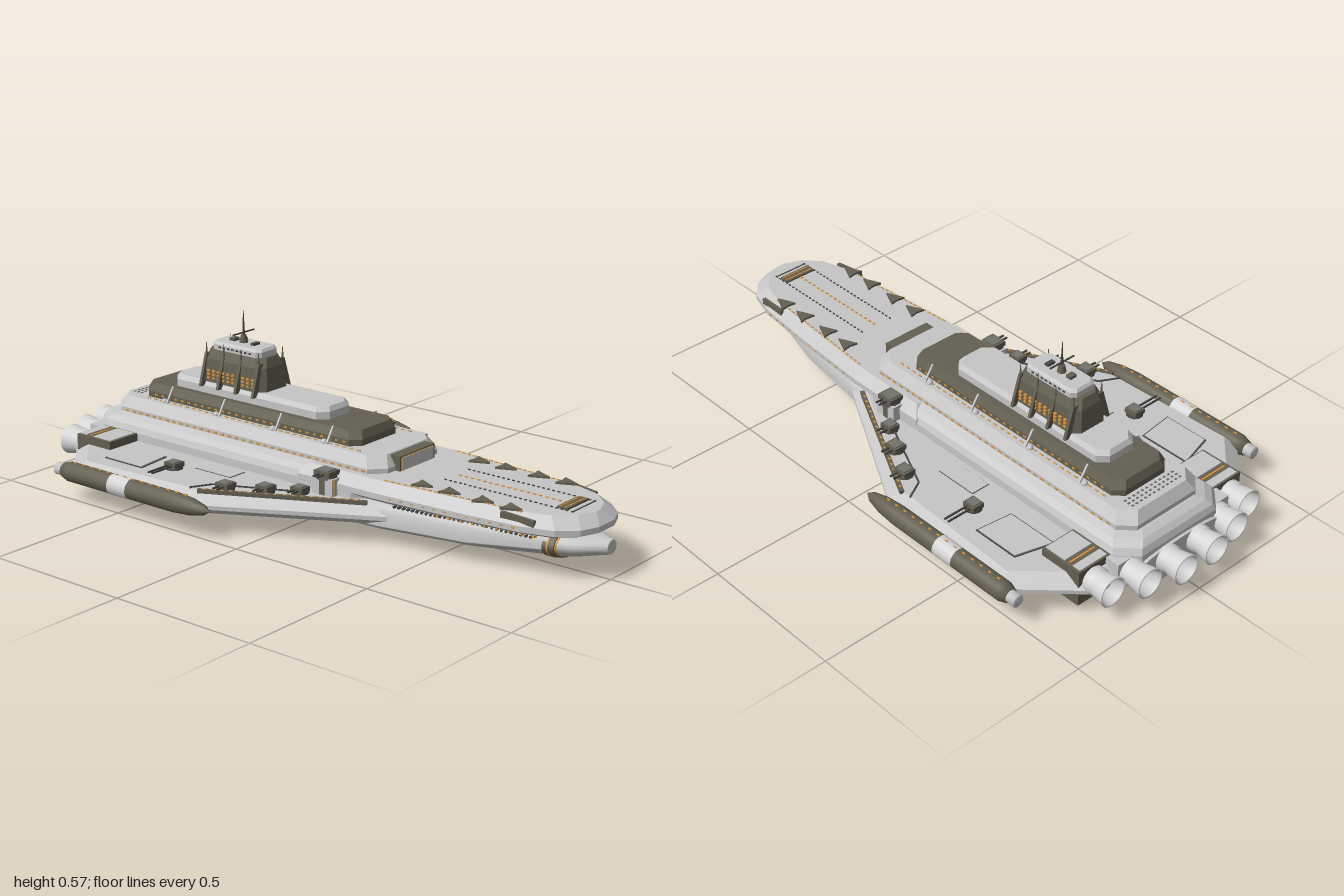
import * as THREE from 'three';
import { mergeGeometries } from 'three/addons/utils/BufferGeometryUtils.js';

const paint = (name, color) => {
  const m = new THREE.MeshStandardMaterial({ color });
  m.name = name;
  return m;
};

export function createModel() {
  const ship = new THREE.Group();
  ship.name = 'carrierShip';
  const grey = paint('hullGrey', 0xc6c6c6);
  const olive = paint('darkOlive', 0x635f51);
  const pale = paint('paleGrey', 0xd4d4d4);
  const steel = paint('steelGrey', 0x74746e);
  const dark = paint('charcoal', 0x484846);
  const orange = paint('amberLight', 0xd8923a);

  const add = (name, geo, mat, x = 0, y = 0, z = 0) => {
    const m = new THREE.Mesh(geo, mat);
    m.name = name;
    m.position.set(x, y, z);
    ship.add(m);
    return m;
  };
  const box = (name, mat, w, h, d, x, y, z) => add(name, new THREE.BoxGeometry(w, h, d), mat, x, y, z);
  const sides = (fn) => [1, -1].forEach(fn);

  // Skin a stack of closed rings, with capped ends
  function loft(rings, smooth = false) {
    const n = rings[0].length, pos = [], idx = [];
    rings.forEach((r) => r.forEach((p) => pos.push(...p)));
    for (let i = 0; i < rings.length - 1; i++) {
      for (let j = 0; j < n; j++) {
        const a = i * n + j, b = i * n + (j + 1) % n;
        idx.push(a, b, b + n, a, b + n, a + n);
      }
    }
    [[rings[0], true], [rings[rings.length - 1], false]].forEach(([r, flip]) => {
      const base = pos.length / 3;
      r.forEach((p) => pos.push(...p));
      pos.push(...[0, 1, 2].map((k) => r.reduce((s, p) => s + p[k], 0) / n));
      for (let j = 0; j < n; j++) {
        const a = base + j, b = base + (j + 1) % n;
        idx.push(...(flip ? [b, a, base + n] : [a, b, base + n]));
      }
    });
    let g = new THREE.BufferGeometry();
    g.setAttribute('position', new THREE.Float32BufferAttribute(pos, 3));
    g.setIndex(idx);
    if (!smooth) g = g.toNonIndexed();
    g.computeVertexNormals();
    return g;
  }

  // Symmetric deck: half outline [x, z] from bow to stern, layers [y, inset]
  function deck(name, mat, half, layers) {
    const cx = (half[0][0] + half[half.length - 1][0]) / 2;
    add(name, loft(layers.map(([y, d]) => {
      const pts = half.map(([x, z]) => [x - Math.sign(x - cx) * d, y, z - d]);
      return [...pts.map(([x, , z]) => [x, y, -z]), ...pts.reverse()];
    })), mat);
  }
  // Rectangular deck with cut corners
  const block = (name, mat, x0, x1, w, c, layers) =>
    deck(name, mat, [[x1, w - c], [x1 - c, w], [x0 + c, w], [x0, w - c]], layers);

  // Sections along x: [x, half width, centre y, height above, depth below];
  // the powers make the upper and lower curves boxier or shallower
  const shell = (name, mat, sections, upPower = 1, downPower = 1) =>
    add(name, loft(sections.map(([x, w, cy, up, down]) =>
      Array.from({ length: 32 }, (_, i) => {
        const a = (i / 32) * Math.PI * 2, s = Math.sin(a);
        return [x, cy + (s > 0 ? up * s ** upPower : -down * (-s) ** downPower), -Math.cos(a) * w];
      })), true), mat);

  // Rows of small boxes on both sides
  function row(name, mat, a, b, n, size) {
    const geos = [];
    sides((s) => {
      for (let i = 0; i < n; i++) {
        const p = a.map((v, k) => v + (b[k] - v) * i / (n - 1));
        geos.push(new THREE.BoxGeometry(...size).translate(p[0], p[1], p[2] * s));
      }
    });
    add(name, mergeGeometries(geos), mat);
  }
  // Mirrored straight bars
  const beam = (name, mat, a, b, w, h) => sides((s) => {
    const p = new THREE.Vector3(a[0], a[1], a[2] * s), q = new THREE.Vector3(b[0], b[1], b[2] * s);
    const m = add(name, new THREE.BoxGeometry(w, h, p.distanceTo(q)), mat);
    m.position.copy(p).lerp(q, 0.5);
    m.lookAt(q);
  });
  // Mirrored flat plates from an [x, z] outline
  const plate = (name, mat, pts, y, h) => sides((s) => {
    const shape = new THREE.Shape(pts.map(([x, z]) => new THREE.Vector2(x, -z * s)));
    add(name, new THREE.ExtrudeGeometry(shape, { depth: h, bevelEnabled: false }).rotateX(-Math.PI / 2), mat, 0, y, 0);
  });
  const lathe = (pts, n, turn) => new THREE.LatheGeometry(pts.map((p) => new THREE.Vector2(...p)), n).rotateZ(turn);

  // Lower hull with a shallow belly, and nose
  shell('lowerHull', grey, [
    [-0.92, 0.19, 0.075, 0.07, 0.05], [-0.8, 0.215, 0.066, 0.08, 0.056], [-0.5, 0.22, 0.062, 0.08, 0.061],
    [-0.2, 0.222, 0.062, 0.08, 0.062], [0.05, 0.22, 0.062, 0.08, 0.06], [0.3, 0.208, 0.063, 0.08, 0.054],
    [0.6, 0.17, 0.07, 0.073, 0.046], [0.85, 0.108, 0.088, 0.052, 0.041]], 0.4, 1.5);
  shell('noseBand', olive, [[0.835, 0.117, 0.095, 0.049, 0.052], [0.87, 0.109, 0.095, 0.048, 0.05]]);
  shell('noseBandLight', orange, [[0.848, 0.116, 0.095, 0.05, 0.053], [0.853, 0.115, 0.095, 0.05, 0.053]]);
  shell('noseStripe', orange, [[0.869, 0.104, 0.095, 0.0455, 0.0465], [0.875, 0.101, 0.095, 0.0445, 0.0455]]);
  shell('noseCone', grey, [[0.87, 0.102, 0.095, 0.044, 0.045], [0.92, 0.08, 0.096, 0.039, 0.037],
    [0.97, 0.045, 0.098, 0.03, 0.027], [1, 0.024, 0.1, 0.022, 0.022]]);

  // Wings
  deck('wings', grey, [[0.34, 0.2], [-0.16, 0.475], [-0.7, 0.495], [-0.87, 0.32], [-0.91, 0.15]],
    [[0.062, 0.02], [0.082, 0], [0.095, 0], [0.129, 0.03]]);
  beam('wingEdgeRail', olive, [0.27, 0.128, 0.212], [-0.2, 0.128, 0.452], 0.014, 0.012);
  beam('wingInnerRail', dark, [0.08, 0.13, 0.255], [-0.2, 0.13, 0.385], 0.005, 0.006);
  beam('wingCrossRail', dark, [-0.2, 0.13, 0.385], [-0.235, 0.13, 0.45], 0.005, 0.006);
  row('wingEdgeLights', orange, [0.24, 0.134, 0.227], [-0.18, 0.134, 0.442], 18, [0.011, 0.004, 0.005]);
  plate('wingHatchSeam', dark, [[-0.68, 0.28], [-0.645, 0.41], [-0.48, 0.41], [-0.495, 0.28]], 0.126, 0.005);
  plate('wingHatch', grey, [[-0.675, 0.285], [-0.641, 0.405], [-0.486, 0.405], [-0.5, 0.285]], 0.127, 0.007);
  plate('wingPanelSeam', dark, [[-0.35, 0.235], [-0.35, 0.303], [-0.2, 0.303], [-0.2, 0.235]], 0.126, 0.004);
  plate('wingPanel', grey, [[-0.348, 0.237], [-0.348, 0.301], [-0.202, 0.301], [-0.202, 0.237]], 0.127, 0.005);

  // Flight deck with runway markings and parked craft
  deck('flightDeck', grey, [[0.98, 0.04], [0.955, 0.1], [0.9, 0.15], [0.8, 0.18], [0.6, 0.2], [0.3, 0.219], [0, 0.219]],
    [[0.135, 0.025], [0.15, 0], [0.168, 0], [0.2, 0.03]]);
  row('runwayDots', dark, [0.45, 0.2, 0.06], [0.9, 0.2, 0.06], 26, [0.008, 0.006, 0.004]);
  row('runwayCentreLights', orange, [0.46, 0.2, 0.002], [0.84, 0.2, 0.002], 18, [0.01, 0.004, 0.003]);
  beam('runwayEdge', dark, [0.9, 0.2, 0.06], [0.9, 0.2, 0.001], 0.004, 0.004);
  box('runwayBar', olive, 0.036, 0.014, 0.115, 0.863, 0.199, 0);
  [0.854, 0.872].forEach((x) => box('runwayBarLight', orange, 0.004, 0.004, 0.11, x, 0.2055, 0));
  beam('bowCheekStripe', olive, [0.73, 0.187, 0.171], [0.84, 0.178, 0.162], 0.012, 0.02);
  row('deckEdgeLights', orange, [0.32, 0.2, 0.182], [0.78, 0.2, 0.147], 22, [0.012, 0.005, 0.004]);
  row('hullPortholes', dark, [0.35, 0.125, 0.176], [0.8, 0.118, 0.114], 30, [0.007, 0.006, 0.02]);
  row('hullPortholeLights', orange, [0.5, 0.126, 0.16], [0.81, 0.121, 0.112], 9, [0.008, 0.005, 0.024]);
  row('hullLights', orange, [0.36, 0.16, 0.215], [0.78, 0.16, 0.183], 12, [0.008, 0.004, 0.006]);
  [0.43, 0.53, 0.65, 0.75].forEach((x) =>
    plate('parkedCraft', olive, [[x + 0.036, 0.145], [x - 0.025, 0.117], [x - 0.02, 0.145], [x - 0.025, 0.172]], 0.199, 0.008));

  // Stepped superstructure
  block('mainBlock', grey, -0.91, 0.27, 0.217, 0.06, [[0.1, 0], [0.155, 0], [0.175, 0.008], [0.19, 0.024], [0.2, 0.048]]);
  block('upperBlock', grey, -0.855, 0.28, 0.168, 0.045, [[0.198, 0], [0.215, 0], [0.25, 0.022]]);
  block('oliveTier', olive, -0.765, 0.148, 0.112, 0.03, [[0.25, 0], [0.27, 0], [0.296, 0.012]]);
  block('upperTier', grey, -0.665, -0.01, 0.078, 0.03, [[0.295, 0], [0.32, 0], [0.335, 0.01]]);
  block('tower', olive, -0.545, -0.27, 0.072, 0.025, [[0.334, 0], [0.41, 0.008], [0.44, 0.02]]);
  block('bridge', grey, -0.51, -0.3, 0.05, 0.015, [[0.44, 0], [0.458, 0], [0.467, 0.007]]);
  row('lowerWindows', orange, [-0.78, 0.206, 0.167], [0.22, 0.206, 0.167], 34, [0.013, 0.006, 0.005]);
  row('middleLights', orange, [-0.72, 0.25, 0.127], [0.17, 0.25, 0.127], 32, [0.014, 0.005, 0.004]);
  row('oliveTierWindows', orange, [-0.7, 0.261, 0.1115], [0.1, 0.261, 0.1115], 28, [0.011, 0.006, 0.004]);
  [0.348, 0.36, 0.372].forEach((y) =>
    row('towerWindows', orange, [-0.5, y, 0.07], [-0.31, y, 0.07], 10, [0.011, 0.006, 0.008]));
  row('bridgeWindows', dark, [-0.47, 0.45, 0.049], [-0.34, 0.45, 0.049], 8, [0.01, 0.006, 0.004]);
  [-0.81, -0.795, -0.78].forEach((x) => row('sternVents', steel, [x, 0.25, 0.01], [x, 0.25, 0.1], 6, [0.006, 0.004, 0.008]));

  // Hangar at the front of the superstructure
  box('hangarFrame', olive, 0.05, 0.05, 0.174, 0.272, 0.222, 0);
  box('hangarTrim', orange, 0.004, 0.043, 0.158, 0.297, 0.222, 0);
  box('hangarDoor', grey, 0.004, 0.039, 0.153, 0.299, 0.222, 0);

  // Tower ribs with spikes, and mooring masts
  const rib = new THREE.Shape([[-0.094, 0.32], [0.094, 0.32], [0.062, 0.425], [-0.062, 0.425]]
    .map((p) => new THREE.Vector2(...p)));
  [-0.52, -0.445, -0.37, -0.295].forEach((x) => {
    add('towerRib', new THREE.ExtrudeGeometry(rib, { depth: 0.01, bevelEnabled: false }).rotateY(Math.PI / 2), olive, x - 0.005, 0, 0);
    sides((s) => add('ribSpike', new THREE.ConeGeometry(0.005, 0.06, 6), olive, x, 0.44, 0.058 * s));
  });
  [-0.63, -0.4, -0.16, 0.05].forEach((x) => {
    sides((s) => add('pointDefenceDome', new THREE.SphereGeometry(0.011, 10, 6), grey, x - 0.015, 0.252, 0.13 * s));
    beam('leaningMast', grey, [x, 0.25, 0.135], [x, 0.3, 0.103], 0.006, 0.006);
  });

  // Antenna
  add('antennaFoot', new THREE.CylinderGeometry(0.009, 0.016, 0.03, 8), olive, -0.41, 0.477, 0);
  add('antennaMast', new THREE.CylinderGeometry(0.001, 0.005, 0.09, 6), dark, -0.41, 0.528, 0);
  box('antennaCrossbar', dark, 0.004, 0.004, 0.1, -0.41, 0.5, 0);
  box('sensorBox', olive, 0.02, 0.012, 0.025, -0.45, 0.471, 0);
  box('sensorBox', dark, 0.015, 0.008, 0.03, -0.36, 0.47, 0);

  // Engines
  const bell = lathe([[0.03, -0.04], [0.034, 0.01], [0.044, 0.02], [0.044, 0.04], [0.04, 0.045], [0.05, 0.1],
    [0.044, 0.1], [0.034, 0.05], [0, 0.045]], 20, Math.PI / 2);
  sides((s) => {
    [[-0.9, 0.065], [-0.87, 0.185], [-0.825, 0.29]].forEach(([x, z]) => add('engineBell', bell, pale, x, 0.108, z * s));
    box('engineHousing', olive, 0.15, 0.122, 0.14, -0.765, 0.094, 0.273 * s);
    box('engineHousingLid', grey, 0.078, 0.008, 0.108, -0.734, 0.154, 0.28 * s);
    box('engineRearLid', grey, 0.03, 0.008, 0.108, -0.82, 0.154, 0.28 * s);
    box('engineLightStrip', orange, 0.006, 0.005, 0.1, -0.789, 0.155, 0.28 * s);
    box('engineCollar', grey, 0.06, 0.09, 0.1, -0.86, 0.108, 0.185 * s);
  });

  // Wing tip pods
  const pod = lathe([[0, -0.73], [0.024, -0.73], [0.033, -0.7], [0.033, -0.25], [0.028, -0.18], [0.016, -0.125], [0, -0.1]], 14, -Math.PI / 2);
  const tail = lathe([[0, -0.755], [0.021, -0.76], [0.021, -0.72]], 14, -Math.PI / 2);
  const band = lathe([[0.0345, -0.51], [0.0345, -0.43]], 14, -Math.PI / 2);
  sides((s) => {
    add('tipPod', pod, olive, 0, 0.096, 0.505 * s);
    add('tipPodTail', tail, grey, 0, 0.096, 0.505 * s);
    add('tipPodBand', band, pale, 0, 0.096, 0.505 * s);
  });
  row('podLights', orange, [-0.68, 0.129, 0.505], [-0.2, 0.129, 0.505], 14, [0.012, 0.005, 0.004]);

  // Gun turrets: [x, y, z, size, barrel length]
  sides((s) => {
    box('turretMount', grey, 0.08, 0.056, 0.05, 0.12, 0.155, 0.218 * s);
    box('turretMountBand', olive, 0.02, 0.058, 0.052, 0.12, 0.155, 0.219 * s);
    box('turretMountLight', orange, 0.004, 0.05, 0.006, 0.16, 0.155, 0.232 * s);
    [[-0.4, 0.129, 0.345, 0.95, 0.09], [-0.14, 0.129, 0.39, 1, 0.03], [-0.03, 0.129, 0.33, 1, 0.03],
      [0.06, 0.129, 0.275, 0.9, 0.03], [0.12, 0.181, 0.22, 1.2, 0.03]].forEach(([x, y, z, k, len]) => {
      add('turretBase', new THREE.CylinderGeometry(0.026 * k, 0.03 * k, 0.01, 10), dark, x, y + 0.004, z * s);
      box('turretHouse', olive, 0.05 * k, 0.016, 0.044 * k, x, y + 0.015, z * s);
      box('turretRoof', steel, 0.036 * k, 0.004, 0.032 * k, x, y + 0.024, z * s);
      [-0.008, 0.008].forEach((dx) =>
        box('turretBarrel', dark, 0.005, 0.005, len, x + dx, y + 0.014, (z + 0.02 * k + len / 2) * s));
    });
  });
  return ship;
}
